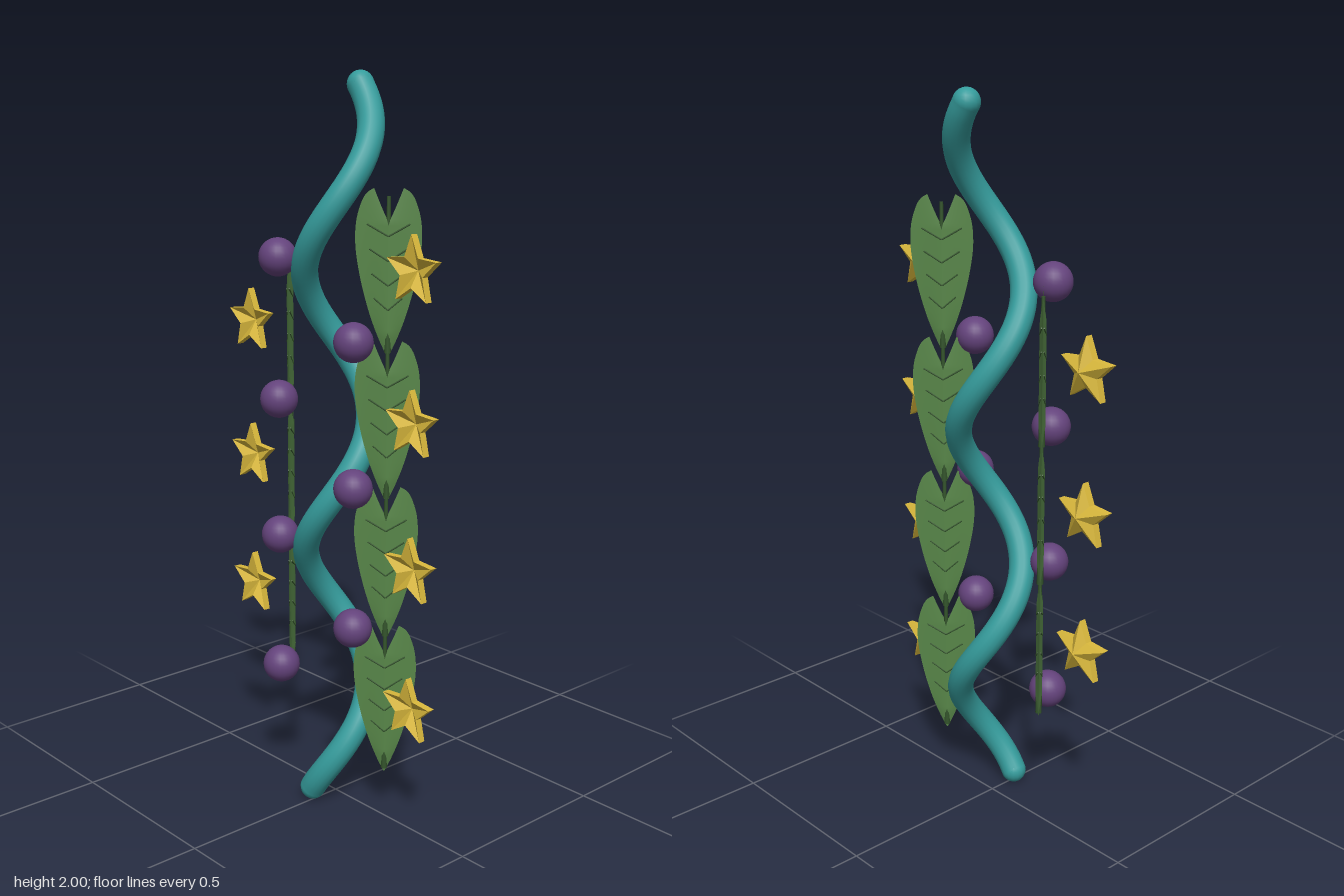
import * as THREE from 'three';
import { ParametricGeometry } from 'three/addons/geometries/ParametricGeometry.js';
import { mergeGeometries } from 'three/addons/utils/BufferGeometryUtils.js';

const mat = (color, extra = {}) => new THREE.MeshStandardMaterial({ color, ...extra });
const teal = mat(0x359c9c);
const purple = mat(0x64437c);
const green = mat(0x578548, { side: THREE.DoubleSide });
const darkGreen = mat(0x34552c);
const gold = mat(0xd9b83c, { flatShading: true, side: THREE.DoubleSide });

function add(parent, name, geometry, material, x = 0, y = 0, z = 0) {
  const mesh = new THREE.Mesh(geometry, material);
  mesh.name = name;
  mesh.position.set(x, y, z);
  parent.add(mesh);
  return mesh;
}

// Spiral stem with rounded ends
function addStem(parent) {
  const R = 0.086, r = 0.036, y0 = 0.036, y1 = 1.964, pitch = 0.764;
  const points = [];
  for (let i = 0; i <= 80; i++) {
    const y = y0 + (y1 - y0) * i / 80;
    const a = (y - 0.045) / pitch * Math.PI * 2;
    points.push(new THREE.Vector3(R * Math.sin(a), y, R * Math.cos(a) - 0.006));
  }
  add(parent, 'spiralStem', new THREE.TubeGeometry(new THREE.CatmullRomCurve3(points), 200, r, 16), teal);
  for (const p of [points[0], points[80]]) {
    add(parent, 'stemEnd', new THREE.SphereGeometry(r, 16, 12), teal, p.x, p.y, p.z);
  }
}

// Heart-shaped blade: lens-thick halves, pointed base, notch between two lobes
const LEAF = 0.425;
const outline = new THREE.SplineCurve([
  [0.002, 0], [0.022, 0.1], [0.046, 0.25], [0.069, 0.45], [0.083, 0.65],
  [0.082, 0.8], [0.07, 0.91], [0.056, 0.97], [0.037, 1],
].map(([x, t]) => new THREE.Vector2(x, t * LEAF)));

function bladeGeometry() {
  const parts = [];
  for (const side of [-1, 1]) for (const face of [-1, 1]) {
    parts.push(new ParametricGeometry((u, v, target) => {
      const edge = outline.getPoint(v);
      const notch = Math.max(0, (edge.y / LEAF - 0.8) / 0.2);
      const inner = 0.037 * Math.pow(notch, 0.9);
      const x = inner + (edge.x - inner) * u;
      const thick = 0.009 * Math.max(0, 1 - x / 0.085) * Math.min(1, edge.x / 0.03);
      target.set(side * x, edge.y, face * thick * (1 - u * u) * (1 - notch));
    }, 6, 28));
  }
  return mergeGeometries(parts);
}

// Thin rod between two points, used for the ribs
function rod(a, b, r0, r1) {
  const d = b.clone().sub(a);
  const g = new THREE.CylinderGeometry(r1, r0, d.length(), 8);
  g.applyQuaternion(new THREE.Quaternion().setFromUnitVectors(new THREE.Vector3(0, 1, 0), d.normalize()));
  const c = a.clone().add(b).multiplyScalar(0.5);
  return g.translate(c.x, c.y, c.z);
}

function ribGeometry() {
  const V = (x, y, z) => new THREE.Vector3(x, y, z);
  const parts = [rod(V(0, 0.01, 0), V(0, 0.405, 0), 0.009, 0.005)];
  for (let i = 0; i < 4; i++) for (const s of [-1, 1]) for (const f of [-1, 1]) {
    const y = 0.12 + i * 0.062;
    parts.push(rod(V(0, y, f * 0.007), V(s * (0.036 + i * 0.006), y + 0.03, f * 0.003), 0.003, 0.002));
  }
  return mergeGeometries(parts);
}

// Five-pointed star: straight rim, ridged back, hollowed front
function starGeometry() {
  const pos = [];
  const corner = (i, z) => {
    const r = i % 2 ? 0.041 : 0.09, a = Math.PI / 2 + i * Math.PI / 5;
    return [r * Math.cos(a), r * Math.sin(a), z];
  };
  for (let i = 0; i < 10; i++) {
    const f0 = corner(i, 0.01), f1 = corner(i + 1, 0.01);
    const b0 = corner(i, -0.01), b1 = corner(i + 1, -0.01);
    pos.push(...f0, ...f1, 0, 0, -0.016);
    pos.push(...b1, ...b0, 0, 0, -0.036);
    pos.push(...f0, ...b0, ...b1, ...f0, ...b1, ...f1);
  }
  const g = new THREE.BufferGeometry();
  g.setAttribute('position', new THREE.Float32BufferAttribute(pos, 3));
  g.computeVertexNormals();
  return g;
}

export function createModel() {
  const model = new THREE.Group();
  model.name = 'spiralVine';
  addStem(model);

  const blade = bladeGeometry(), ribs = ribGeometry(), star = starGeometry();
  const berry = new THREE.SphereGeometry(0.052, 24, 16);
  const STEP = 0.3855;

  // Left side carries four leaves and stars, right side three, staggered by half a step
  for (const side of [1, -1]) {
    const count = side > 0 ? 4 : 3, shift = side > 0 ? 0 : STEP / 2;
    for (let i = 0; i < count; i++) {
      const y = 0.362 + shift + i * STEP;
      const leaf = new THREE.Group();
      leaf.name = 'leaf';
      leaf.position.set(side * 0.194, y - 0.232, -0.005);
      leaf.rotation.y = side * Math.PI / 4;
      add(leaf, 'leafBlade', blade, green);
      add(leaf, 'leafRibs', ribs, darkGreen);
      model.add(leaf);
      add(model, 'star', star, gold, side * 0.32, y, 0.03);
      // Each berry sits across from a star
      add(model, 'berry', berry, purple, -side * 0.15, y, 0.073);
    }
  }
  return model;
}
